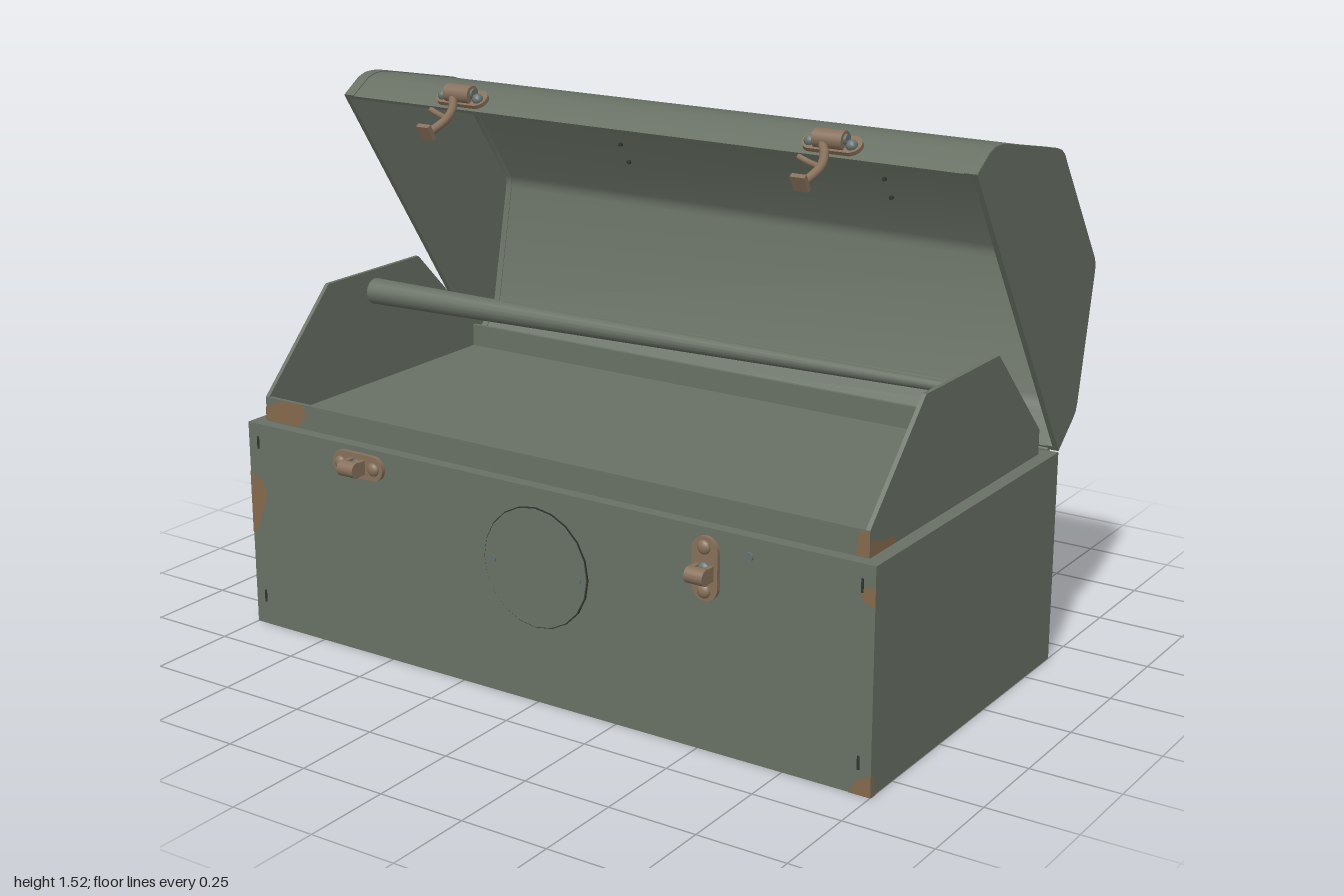
import * as THREE from 'three';
import { toCreasedNormals } from 'three/addons/utils/BufferGeometryUtils.js';

const mat = (name, color, side = THREE.FrontSide) => {
  const m = new THREE.MeshStandardMaterial({ color, side });
  m.name = name;
  return m;
};

export function createModel() {
  const root = new THREE.Group();
  root.name = 'toolbox';
  const green = mat('grey green paint', 0x687064);
  const rust = mat('rust', 0x86694c, THREE.DoubleSide);
  const bronze = mat('worn bronze', 0x86705a);
  const steel = mat('blue grey steel', 0x65726f);
  const tan = mat('tan wood', 0x877a64);
  const red = mat('red paint', 0xc23c32);
  const dark = mat('dark slot', 0x30342f);

  const add = (name, geo, m, parent = root, x = 0, y = 0, z = 0) => {
    const mesh = new THREE.Mesh(geo, m);
    mesh.name = name;
    mesh.position.set(x, y, z);
    parent.add(mesh);
    return mesh;
  };
  const group = (name, parent = root) => {
    const g = new THREE.Group();
    g.name = name;
    parent.add(g);
    return g;
  };
  // box given by its limits
  const block = (name, m, parent, x0, x1, y0, y1, z0, z1) =>
    add(name, new THREE.BoxGeometry(x1 - x0, y1 - y0, z1 - z0), m, parent,
      (x0 + x1) / 2, (y0 + y1) / 2, (z0 + z1) / 2);
  // side outline of [z, y] points drawn out from x0 to x1
  const prism = (pts, x0, x1) => {
    const shape = new THREE.Shape(pts.map(([z, y]) => new THREE.Vector2(-z, y)));
    const geo = new THREE.ExtrudeGeometry(shape, { depth: x1 - x0, bevelEnabled: false });
    geo.rotateY(Math.PI / 2).translate(x0, 0, 0);
    return toCreasedNormals(geo, 0.45);
  };
  const tube = (pts, r, n = 24) => new THREE.TubeGeometry(
    new THREE.CatmullRomCurve3(pts.map(p => new THREE.Vector3(...p))), n, r, 8);
  const rod = (r, len, axis) => {
    const geo = new THREE.CylinderGeometry(r, r, len, 20);
    if (axis === 'x') geo.rotateZ(Math.PI / 2);
    if (axis === 'z') geo.rotateX(Math.PI / 2);
    return geo;
  };
  // flat plate with round ends, facing +z
  const slotPlate = (w, h, d) => {
    const r = Math.min(w, h) / 2, s = new THREE.Shape();
    const a = w / 2 - r, b = h / 2 - r;
    if (w > h) {
      s.absarc(a, 0, r, -Math.PI / 2, Math.PI / 2);
      s.absarc(-a, 0, r, Math.PI / 2, Math.PI * 1.5);
    } else {
      s.absarc(0, b, r, 0, Math.PI);
      s.absarc(0, -b, r, Math.PI, Math.PI * 2);
    }
    return new THREE.ExtrudeGeometry(s, { depth: d, bevelEnabled: false, curveSegments: 10 });
  };

  // lower box: four walls and a recessed bottom
  const base = group('lowerBox');
  block('frontWall', green, base, -1, 1, 0, 0.6, 0.57, 0.61);
  block('backWall', green, base, -1, 1, 0, 0.6, -0.4, -0.36);
  for (const s of [-1, 1]) add('sideWall', new THREE.BoxGeometry(0.04, 0.6, 0.93), green, base, s * 0.98, 0.3, 0.105);
  block('bottomPanel', green, base, -0.97, 0.97, 0.012, 0.03, -0.37, 0.58);
  for (const x of [-0.965, 0.965]) for (const y of [0.085, 0.545])
    block('cornerSlot', dark, base, x - 0.003, x + 0.003, y - 0.018, y + 0.018, 0.608, 0.613);

  // round cover plate on the front
  add('roundCover', rod(0.167, 0.006, 'z'), dark, base, 0, 0.38, 0.611);
  add('roundCoverFace', rod(0.164, 0.01, 'z'), green, base, 0, 0.38, 0.612);
  for (const x of [-0.138, 0.138]) add('coverRivet', rod(0.011, 0.008, 'z'), steel, base, x, 0.378, 0.616);
  add('frontStud', rod(0.012, 0.008, 'z'), steel, base, 0.65, 0.55, 0.612);

  // inner tray with raised ends
  const tray = group('tray');
  const trayEnd = [[0.575, 0.59], [0.575, 0.67], [0.31, 0.94], [-0.09, 0.94], [-0.355, 0.67], [-0.355, 0.59]];
  for (const x of [-0.962, 0.95]) add('trayEnd', prism(trayEnd, x, x + 0.012), green, tray);
  block('trayFront', green, tray, -0.955, 0.955, 0.59, 0.67, 0.563, 0.575);
  block('trayBack', green, tray, -0.955, 0.955, 0.59, 0.67, -0.355, -0.343);
  block('trayFloor', green, tray, -0.955, 0.955, 0.592, 0.604, -0.345, 0.565);
  const bar = add('trayBar', new THREE.CylinderGeometry(0.014, 0.038, 1.91, 16).rotateZ(-Math.PI / 2), green, tray, 0, 0.888, 0.11);
  bar.rotation.z = 0.012;

  // open lid: bent sheet with closed ends
  const lid = group('lid');
  const outline = [[-0.4, 0.605], [-0.484, 0.673], [-0.5, 0.69], [-0.508, 0.712], [-0.58, 1.06], [-0.582, 1.08],
    [-0.576, 1.1], [-0.363, 1.4], [-0.35, 1.42], [-0.33, 1.435], [-0.3, 1.445], [0, 1.505], [0.03, 1.508],
    [0.06, 1.507], [0.09, 1.498], [0.155, 1.455]];
  // scale about the middle of the opening so both ends stay on the opening line
  const scaled = k => outline.map(([z, y]) => [-0.1225 + (z + 0.1225) * k, 1.03 + (y - 1.03) * k]);
  const shell = (k0, k1) => [...scaled(k0), ...scaled(k1).reverse()];
  add('lidSheet', prism(shell(1, 0.98), -0.99, 0.99), green, lid);
  for (const s of [-1, 1]) {
    const x = s > 0 ? 0.985 : -1;
    add('lidEnd', prism(scaled(1.002), x, x + 0.015), green, lid);
    add('lidEndFlange', prism(shell(1.005, 0.975), s > 0 ? 0.965 : -0.999, s > 0 ? 0.999 : -0.965), green, lid);
    for (const y of [1.22, 1.28])
      add('rivetHole', rod(0.006, 0.008, 'z'), dark, lid, s * 0.44, y, -0.605 + (y - 1.1) * 0.72 + 0.06);
  }

  // carrying handle
  const handle = group('handle', lid);
  const radius = x => 0.057 - 0.14 * x * x;
  const grip = (x0, x1, m, name) => {
    const pts = [];
    for (let i = 0; i <= 6; i++) {
      const x = x0 + (x1 - x0) * i / 6;
      pts.push(new THREE.Vector2(radius(x), x));
    }
    if (x0 < -0.33) pts.unshift(new THREE.Vector2(0.028, x0 - 0.012), new THREE.Vector2(0, x0 - 0.012));
    if (x0 < -0.33) [pts[0], pts[1]] = [pts[1], pts[0]];
    if (x1 > 0.33) pts.push(new THREE.Vector2(0.028, x1 + 0.012), new THREE.Vector2(0, x1 + 0.012));
    add(name, new THREE.LatheGeometry(pts, 28).rotateZ(-Math.PI / 2), m, handle, 0, 1.13, -0.617);
  };
  grip(-0.335, -0.26, steel, 'gripCap');
  grip(-0.26, -0.18, tan, 'gripWood');
  grip(-0.18, 0.07, red, 'gripRedBand');
  grip(0.07, 0.29, tan, 'gripWood');
  grip(0.29, 0.335, steel, 'gripCap');
  for (const x of [-0.285, -0.235]) add('gripRing', new THREE.TorusGeometry(radius(x), 0.004, 6, 28).rotateY(Math.PI / 2), tan, handle, x, 1.13, -0.617);
  // wire arms: [x, t], t runs from the grip to the lid
  const wire = [[0.33, 0], [0.39, 0.02], [0.42, 0.12], [0.425, 0.27], [0.39, 0.42], [0.375, 0.58], [0.385, 0.75], [0.42, 0.88], [0.46, 0.97]];
  for (const s of [-1, 1]) {
    add('wireArm', tube(wire.map(([x, t]) => [s * x, 1.13 + t * 0.135, -0.617 + t * 0.142]), 0.011, 40), bronze, handle);
    const mount = group('handleMount', handle);
    mount.position.set(s * 0.452, 1.25, -0.474);
    mount.rotation.set(-0.62, Math.PI, 0, 'YXZ');
    add('mountPlate', slotPlate(0.08, 0.045, 0.01), steel, mount);
    add('mountEye', rod(0.018, 0.045, 'x'), steel, mount, 0, 0, 0.018);
  }

  // draw latches on the lid edge
  for (const x of [-0.592, 0.584]) {
    const latch = group('lidLatch', lid);
    latch.position.set(x, 1.478, 0.125);
    const plate = add('latchPlate', slotPlate(0.17, 0.06, 0.012), bronze, latch);
    plate.rotation.x = -0.96;
    for (const dx of [-0.06, 0.06]) add('latchRivet', new THREE.SphereGeometry(0.016, 12, 8), steel, latch, dx, 0.008, 0.012);
    add('latchBarrel', rod(0.026, 0.085, 'x'), bronze, latch, 0, 0.018, 0.012);
    add('latchPin', rod(0.014, 0.1, 'x'), steel, latch, 0, 0.022, 0.012);
    add('latchLever', tube([[-0.02, 0.012, 0.02], [0.012, -0.015, 0.065], [0.024, -0.038, 0.11], [0.014, -0.062, 0.16], [0.012, -0.07, 0.178]], 0.012), bronze, latch);
    add('latchProng', tube([[0.02, -0.035, 0.1], [-0.02, -0.03, 0.085], [-0.055, -0.022, 0.075]], 0.008, 12), bronze, latch);
    const tip = add('latchTip', new THREE.BoxGeometry(0.042, 0.045, 0.014), bronze, latch, 0.012, -0.062, 0.18);
    tip.rotation.x = 0.5;
  }

  // catches on the box front
  const catchAt = (x, y, w, h, hookY) => {
    const c = group('boxCatch');
    c.position.set(x, y, 0.61);
    add('catchPlate', slotPlate(w, h, 0.012), bronze, c);
    const along = w > h;
    for (const d of [-0.058, 0, 0.058])
      add('catchRivet', new THREE.SphereGeometry(0.019, 14, 8).scale(1, 1, 0.6), d ? bronze : steel, c, along ? d : 0, along ? 0 : d, 0.014);
    for (const dx of [-0.02, 0.02]) block('catchCheek', bronze, c, dx - 0.007, dx + 0.007, hookY - 0.02, hookY + 0.02, 0.005, 0.05);
    add('catchRoll', rod(0.022, 0.054, 'x'), bronze, c, 0, hookY, 0.044);
  };
  catchAt(-0.592, 0.55, 0.175, 0.07, 0);
  catchAt(0.527, 0.495, 0.076, 0.17, -0.008);

  // rear hinges
  for (const x of [-0.6, 0.6]) {
    const hinge = group('hinge');
    hinge.position.set(x, 0.6, -0.4);
    block('hingeLeaf', green, hinge, -0.1, 0.1, -0.065, 0, -0.009, 0);
    add('hingePin', rod(0.012, 0.21, 'x'), green, hinge, 0, 0.003, -0.01);
    const leaf = add('lidLeaf', new THREE.BoxGeometry(0.2, 0.07, 0.009), green, hinge, 0, 0.032, -0.048);
    leaf.rotation.x = -0.89;
    for (const dx of [-0.06, 0.06]) add('hingeRivet', new THREE.SphereGeometry(0.013, 10, 6).scale(1, 1, 0.5), steel, hinge, dx, -0.035, -0.01);
  }
  add('hingeLine', rod(0.008, 1.94, 'x'), green, root, 0, 0.602, -0.403);

  // rust patches: plane points are mapped to a surface by a rule
  const patch = (pts, map) => {
    const geo = new THREE.ShapeGeometry(new THREE.Shape(pts.map(p => new THREE.Vector2(...p))));
    const pos = geo.attributes.position;
    for (let i = 0; i < pos.count; i++) pos.setXYZ(i, ...map(pos.getX(i), pos.getY(i)));
    geo.computeVertexNormals();
    add('rustPatch', geo, rust);
  };
  const front = (x, y) => [x, y, 0.612];
  const rear = (x, y) => [-x, y, -0.402];
  patch([[-1, 0.27], [-0.985, 0.28], [-0.94, 0.4], [-0.955, 0.43], [-1, 0.455]], front);
  patch([[0.94, 0], [1, 0], [1, 0.055], [0.96, 0.04]], front);
  patch([[0.96, 0.52], [0.975, 0.5], [1, 0.495], [1, 0.545], [0.97, 0.54]], front);
  patch([[-0.96, 0.604], [-0.84, 0.604], [-0.815, 0.64], [-0.82, 0.67], [-0.9, 0.668], [-0.96, 0.64]], (x, y) => [x, y, 0.577]);
  patch([[0.925, 0.604], [0.962, 0.604], [0.962, 0.67], [0.935, 0.665]], (x, y) => [x, y, 0.577]);
  for (const s of [-1, 1])
    patch([[-0.575, 0.602], [-0.45, 0.602], [-0.46, 0.625], [-0.52, 0.625], [-0.545, 0.64], [-0.575, 0.64]],
      (a, y) => [s * 0.964, y, s > 0 ? -a : a * -1]);
  patch([[0.61, 0.27], [0.57, 0.3], [0.56, 0.4], [0.61, 0.455]], (z, y) => [-1.002, y, z]);
  patch([[0.61, 0], [0.59, 0], [0.595, 0.05], [0.61, 0.06]], (z, y) => [1.002, y, z]);
  patch([[0.72, 0], [1, 0], [1, 0.08], [0.9, 0.1], [0.75, 0.07]], rear);
  for (const x of [-0.6, 0.6])
    patch([[x - 0.06, 0.54], [x - 0.03, 0.51], [x + 0.04, 0.505], [x + 0.07, 0.54]], rear);
  // irregular blotches under the bottom
  const blotch = (cx, cz, rx, rz, phase) => {
    const pts = [];
    for (let i = 0; i < 20; i++) {
      const a = i / 20 * Math.PI * 2, k = 0.75 + 0.25 * Math.sin(5 * a + phase);
      pts.push([cx + rx * k * Math.cos(a), cz + rz * k * Math.sin(a)]);
    }
    patch(pts, (x, z) => [x, 0.01, z]);
  };
  blotch(0.46, 0.18, 0.25, 0.2, 0.5);
  blotch(-0.43, 0.05, 0.27, 0.24, 2);
  blotch(-0.78, -0.2, 0.18, 0.15, 4);
  return root;
}
